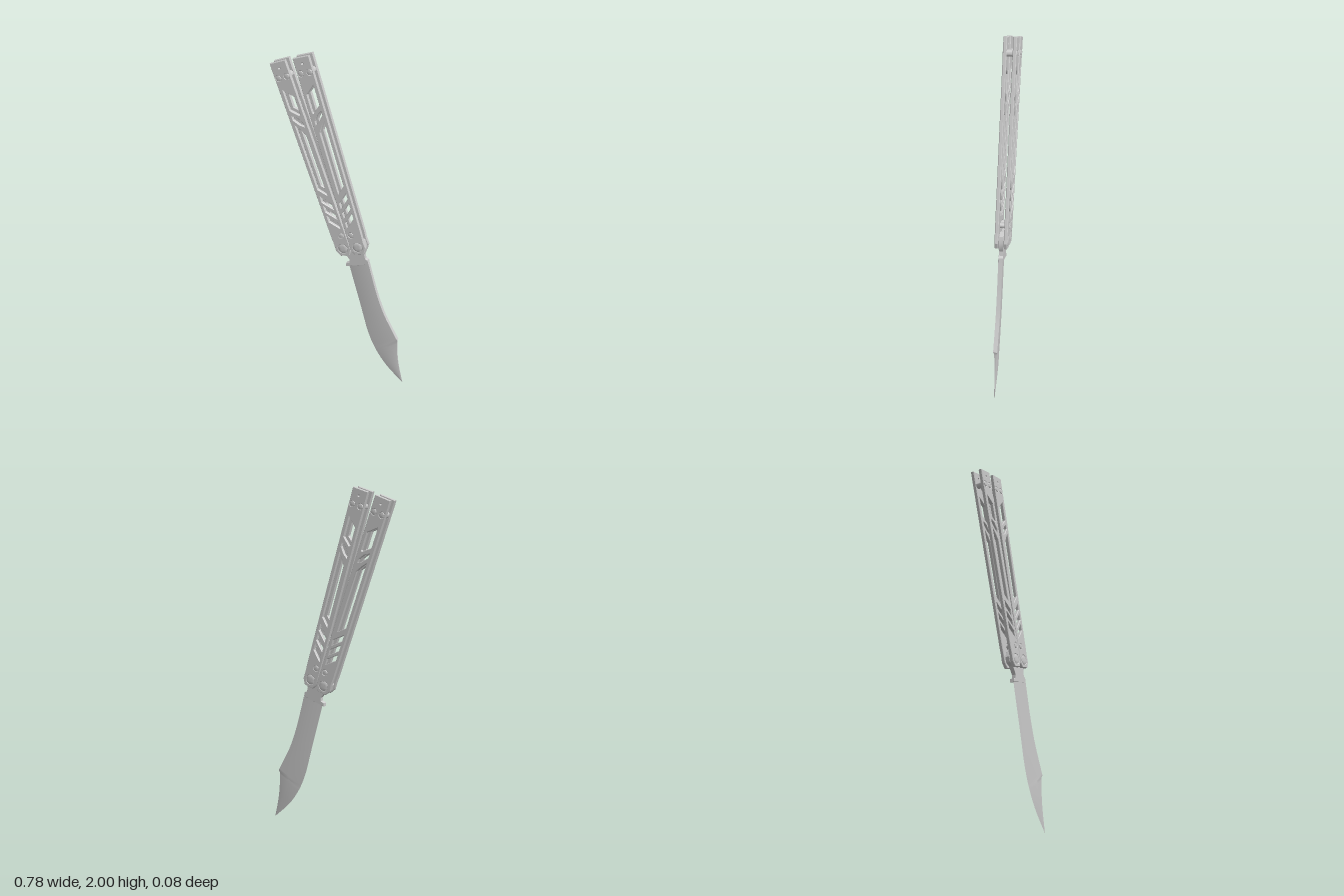
import * as THREE from 'three';
import { toCreasedNormals } from 'three/addons/utils/BufferGeometryUtils.js';

const mat = new THREE.MeshStandardMaterial({ color: 0xcccccc });
const vecs = (pts, s = 1) => pts.map(([x, y]) => new THREE.Vector2(x * s, y));

function mesh(name, geo) {
  const m = new THREE.Mesh(toCreasedNormals(geo, 0.5), mat);
  m.name = name;
  return m;
}

// Plate of bevelled outline, between z0 and z1
function plate(shape, z0, z1, bevel) {
  const g = new THREE.ExtrudeGeometry(shape, {
    depth: z1 - z0 - 2 * bevel, bevelEnabled: true, bevelThickness: bevel,
    bevelSize: bevel, bevelOffset: -bevel, bevelSegments: 1, curveSegments: 12,
  });
  return g.translate(0, 0, z0 + bevel);
}

// Through-bolt with a low domed head on both sides
function bolt(name, x, y, headR, shaftR) {
  const half = [[shaftR, 0], [shaftR, 0.0165], [headR, 0.017], [headR, 0.0355],
    [headR * 0.85, 0.0375], [headR * 0.5, 0.0385], [0, 0.039]];
  const profile = [...half.slice(1).reverse().map(([r, h]) => [r, -h]), ...half];
  const g = new THREE.LatheGeometry(vecs(profile), 24).rotateX(Math.PI / 2);
  return mesh(name, g.translate(x, y, 0));
}

// Handle in its own frame: pivot at the origin, length along +y, inner edge on side s
function handle(name, s) {
  const group = new THREE.Group();
  group.name = name;
  const shape = new THREE.Shape(vecs([
    [-0.047, 1.11], [0.047, 1.11], [0.046, 0.03], [0.045, -0.015], [0.028, -0.045],
    [-0.028, -0.045], [-0.047, -0.012], [-0.045, 0.03], [-0.047, 0.07],
  ], s));
  // Skewed cut-outs: upper window, short slot, long slot
  const cuts = [
    [[-0.025, 0.957], [-0.025, 0.845], [0.02, 0.808], [0.026, 0.812], [0.026, 0.912]],
    [[-0.025, 0.812], [-0.025, 0.79], [0.003, 0.757], [0.026, 0.742], [0.026, 0.762], [0.002, 0.795]],
    [[-0.026, 0.758], [-0.026, 0.378], [0.018, 0.335], [0.018, 0.695], [-0.008, 0.735]],
  ];
  // Three slanted slots near the pivot
  for (const y of [0.289, 0.228, 0.167]) {
    cuts.push([[-0.027, y + 0.046], [-0.027, y + 0.01], [0.027, y - 0.042], [0.027, y - 0.008]]);
  }
  for (const c of cuts) shape.holes.push(new THREE.Path(vecs(c, s)));

  // Bolts sit in chamfered bores; a small hole is left open at the end
  const bore = (x, y, r) => shape.holes.push(new THREE.Path().absarc(x, y, r, 0, Math.PI * 2, false));
  const bolts = [
    ['pivotBolt', 0, 0, 0.028, 0.02], ['stopPin', s * 0.017, 0.079, 0.016, 0.015],
    ['endSpacer', -0.025, 1.025, 0.0155, 0.018], ['endSpacer', 0.025, 1.025, 0.0155, 0.018],
  ];
  for (const [label, x, y, headR, shaftR] of bolts) {
    bore(x, y, headR);
    group.add(bolt(label, x, y, headR, shaftR));
  }
  bore(0, 1.075, 0.004);

  group.add(mesh('frontScale', plate(shape, 0.016, 0.036, 0.003)));
  group.add(mesh('backScale', plate(shape, -0.036, -0.016, 0.003)));
  return group;
}

// Blade lofted from five-sided sections running from edge to spine
function blade() {
  const T = 0.012;
  const rows = [];
  const edge = new THREE.SplineCurve(vecs([
    [0.04, 0.775], [0.071, 0.66], [0.103, 0.545], [0.132, 0.435], [0.161, 0.33],
    [0.207, 0.22], [0.28, 0.11], [0.39, 0],
  ]));
  const loft = (t0, t1, spinePts, n, ridgeHalf, spineHalf) => {
    const spine = new THREE.SplineCurve(vecs(spinePts));
    for (let i = 0; i <= n; i++) {
      const t = i / n;
      const e = edge.getPoint(t0 + (t1 - t0) * t), p = spine.getPoint(t);
      const m = e.clone().lerp(p, 0.55);
      const r = ridgeHalf(t), h = spineHalf(t);
      rows.push([[e.x, e.y, 0], [m.x, m.y, r], [p.x, p.y, h], [p.x, p.y, -h], [m.x, m.y, -r]]);
    }
  };
  // Body with a full-thickness spine
  loft(0, 5 / 7, [[0.161, 0.81], [0.183, 0.727], [0.214, 0.616], [0.257, 0.495], [0.304, 0.4], [0.349, 0.315]],
    25, () => T, () => T);
  // Clipped tip with a thinned back
  loft(5 / 7, 1, [[0.345, 0.3], [0.349, 0.22], [0.362, 0.124], [0.39, 0]],
    15, (t) => T * (1 - t * t), (t) => 0.007 * (1 - t));

  const pos = [];
  for (let i = 0; i < rows.length - 1; i++) {
    for (let k = 0; k < 5; k++) {
      const n = (k + 1) % 5;
      const a = rows[i][k], b = rows[i][n], c = rows[i + 1][k], d = rows[i + 1][n];
      pos.push(...a, ...c, ...b, ...b, ...c, ...d);
    }
  }
  const g = new THREE.BufferGeometry();
  g.setAttribute('position', new THREE.Float32BufferAttribute(pos, 3));
  g.computeVertexNormals();
  return mesh('blade', g);
}

export function createModel() {
  const model = new THREE.Group();
  model.name = 'foldingKnife';

  const outer = handle('outerHandle', 1);
  outer.position.set(0.013, 0.897, 0);
  outer.rotation.z = 0.332;
  const inner = handle('innerHandle', -1);
  inner.position.set(0.1, 0.923, 0);
  inner.rotation.z = 0.29;
  model.add(outer, inner);

  // Tang between the handles, with the finger notch and small guard
  const tang = new THREE.Shape(vecs([
    [-0.03, 0.9], [-0.02, 0.935], [0.015, 0.948], [0.05, 0.945], [0.09, 0.97], [0.13, 0.96],
    [0.142, 0.925], [0.142, 0.89], [0.134, 0.868], [0.14, 0.842], [0.155, 0.835], [0.161, 0.81],
    [0.04, 0.773], [0.024, 0.768], [0.024, 0.788], [0.045, 0.797], [0.045, 0.818], [0.028, 0.84],
    [0.01, 0.86], [-0.02, 0.87],
  ]));
  model.add(mesh('tang', plate(tang, -0.0125, 0.0125, 0.001)));
  model.add(blade());
  return model;
}
